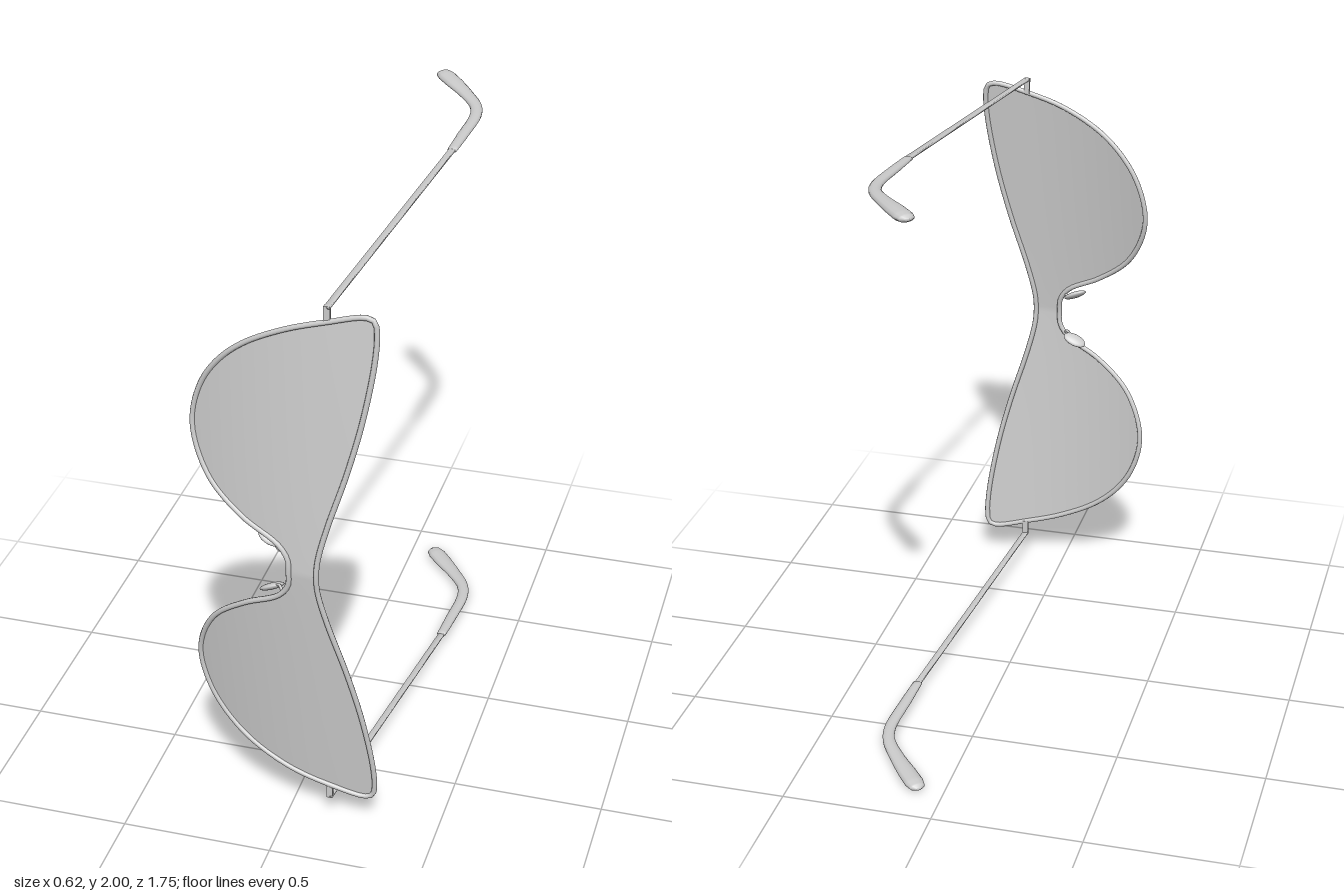
import * as THREE from 'three';
import { ParametricGeometry } from 'three/addons/geometries/ParametricGeometry.js';

const material = new THREE.MeshStandardMaterial({ color: 0xcccccc });
const sheetMaterial = new THREE.MeshStandardMaterial({ color: 0xcccccc, side: THREE.DoubleSide });

// Half outline of the front as [x, distance from the bridge]: lower edge, outer corner, brow edge
const LOWER = [
  [0.037, 0], [0.033, 0.05], [0, 0.095], [-0.12, 0.16], [-0.23, 0.25], [-0.288, 0.36], [-0.3, 0.45],
  [-0.272, 0.56], [-0.217, 0.65], [-0.127, 0.735], [0.01, 0.81], [0.143, 0.854], [0.262, 0.882],
];
const BROW = [
  [0.288, 0.872], [0.296, 0.84], [0.293, 0.75], [0.262, 0.555], [0.217, 0.37], [0.157, 0.17], [0.131, 0.06], [0.127, 0],
];

// Depth of the wrapped, curved front at a given place
function frontZ(x, s) {
  const bend = (0.12 - x) / 0.42;
  return 0.867 - 0.088 * Math.pow(Math.abs(s), 1.1) - (x < 0.12 ? 0.083 : 0.03) * bend * bend;
}

const half = [...LOWER, ...BROW];
const mirrored = half.slice(1, -1).reverse().map(([x, s]) => [x, -s]);
const outline = new THREE.CatmullRomCurve3(
  [...half, ...mirrored].map(([x, s]) => new THREE.Vector3(x, 1 + s, frontZ(x, s))), true, 'centripetal');
const outlineCount = half.length + mirrored.length;

// Smooth tapering sweep; each station is [x, s, z, half width, half thickness]
function loft(stations, steps, sides, straight = false) {
  const path = straight ? null : new THREE.CatmullRomCurve3(
    stations.map(([x, s, z]) => new THREE.Vector3(x, s, z)), false, 'centripetal');
  const at = (t) => {
    const f = t * (stations.length - 1);
    const i = Math.min(Math.floor(f), stations.length - 2);
    const mix = stations[i].map((v, k) => THREE.MathUtils.lerp(v, stations[i + 1][k], f - i));
    const centre = path ? path.getPoint(t) : new THREE.Vector3(...mix);
    return { centre, w: mix[3], h: mix[4] };
  };
  const pos = [], index = [];
  const up = new THREE.Vector3(0, 1, 0);
  for (let i = 0; i <= steps; i++) {
    const t = i / steps;
    const { centre, w, h } = at(t);
    const dir = at(Math.min(1, t + 0.01)).centre.sub(at(Math.max(0, t - 0.01)).centre).normalize();
    const side = new THREE.Vector3().crossVectors(up, dir).normalize();
    const top = new THREE.Vector3().crossVectors(dir, side);
    for (let j = 0; j < sides; j++) {
      const a = ((j + 0.5) / sides) * Math.PI * 2;
      const p = centre.clone().addScaledVector(side, w * Math.cos(a)).addScaledVector(top, h * Math.sin(a));
      pos.push(p.x, p.y, p.z);
      if (i < steps) {
        const p0 = i * sides + j, p1 = i * sides + (j + 1) % sides;
        index.push(p0, p1, p0 + sides, p1, p1 + sides, p0 + sides);
      }
    }
  }
  // End caps
  for (let j = 1; j < sides - 1; j++) {
    const e = steps * sides;
    index.push(0, j + 1, j, e, e + j, e + j + 1);
  }
  const geo = new THREE.BufferGeometry();
  geo.setAttribute('position', new THREE.Float32BufferAttribute(pos, 3));
  geo.setIndex(index);
  geo.computeVertexNormals();
  return geo;
}

// Place a half-model geometry above or below the bridge, keeping faces outward
function place(geometry, sign) {
  const geo = geometry.clone();
  if (sign < 0) {
    geo.scale(1, -1, 1);
    const ix = geo.index;
    for (let i = 0; i < ix.count; i += 3) {
      const b = ix.getX(i + 1);
      ix.setX(i + 1, ix.getX(i + 2));
      ix.setX(i + 2, b);
    }
    geo.computeVertexNormals();
  }
  return geo.translate(0, 1, 0);
}

export function createModel() {
  const model = new THREE.Group();
  model.name = 'sunglasses';
  const add = (name, geometry, mat = material) => {
    const mesh = new THREE.Mesh(geometry, mat);
    mesh.name = name;
    model.add(mesh);
  };

  // One-piece lens, spanned between the lower edge and the brow edge
  const corner = LOWER.length - 0.5, last = half.length - 1;
  const lens = new ParametricGeometry((u, v, target) => {
    const t = Math.abs(2 * v - 1), sign = v < 0.5 ? -1 : 1;
    const a = outline.getPoint((corner * t) / outlineCount);
    const b = outline.getPoint((last - (last - corner) * t) / outlineCount);
    const x = THREE.MathUtils.lerp(a.x, b.x, u);
    const s = THREE.MathUtils.lerp(a.y, b.y, u) - 1;
    target.set(x, 1 + sign * s, frontZ(x, s));
  }, 24, 96);
  lens.computeVertexNormals();
  add('lens', lens, sheetMaterial);

  // Rim round the whole lens
  add('rim', new THREE.TubeGeometry(outline, 220, 0.009, 8, true));

  // Parts of one half
  const hinge = new THREE.BoxGeometry(0.02, 0.055, 0.014).translate(0.145, 0.88, 0.79);
  const temple = loft([
    [0.145, 0.903, 0.797, 0.014, 0.005],
    [0.26, 0.962, -0.3, 0.014, 0.006],
  ], 4, 4, true);
  const templeTip = loft([
    [0.258, 0.96, -0.28, 0.016, 0.008],
    [0.265, 0.965, -0.4, 0.019, 0.01],
    [0.271, 0.971, -0.56, 0.02, 0.011],
    [0.252, 0.974, -0.635, 0.021, 0.012],
    [0.2, 0.979, -0.715, 0.025, 0.013],
    [0.145, 0.983, -0.785, 0.031, 0.015],
    [0.105, 0.985, -0.835, 0.032, 0.016],
    [0.087, 0.986, -0.857, 0.026, 0.013],
    [0.078, 0.986, -0.869, 0.008, 0.004],
  ], 48, 12);
  const nosePad = new THREE.SphereGeometry(1, 20, 12).scale(0.043, 0.011, 0.025)
    .rotateX(0.5).rotateZ(-0.42).translate(-0.032, 0.09, 0.817);
  const padArm = new THREE.TubeGeometry(new THREE.CatmullRomCurve3([
    new THREE.Vector3(0.015, 0.08, 0.858),
    new THREE.Vector3(0, 0.066, 0.84),
    new THREE.Vector3(-0.025, 0.085, 0.818),
  ]), 12, 0.005, 6);

  for (const sign of [1, -1]) {
    const label = sign > 0 ? 'upper' : 'lower';
    add(label + 'Hinge', place(hinge.toNonIndexed().setIndex([...Array(36).keys()]), sign));
    add(label + 'Temple', place(temple, sign));
    add(label + 'TempleTip', place(templeTip, sign));
    add(label + 'NosePad', place(nosePad, sign));
    add(label + 'NosePadArm', place(padArm, sign));
  }
  return model;
}
